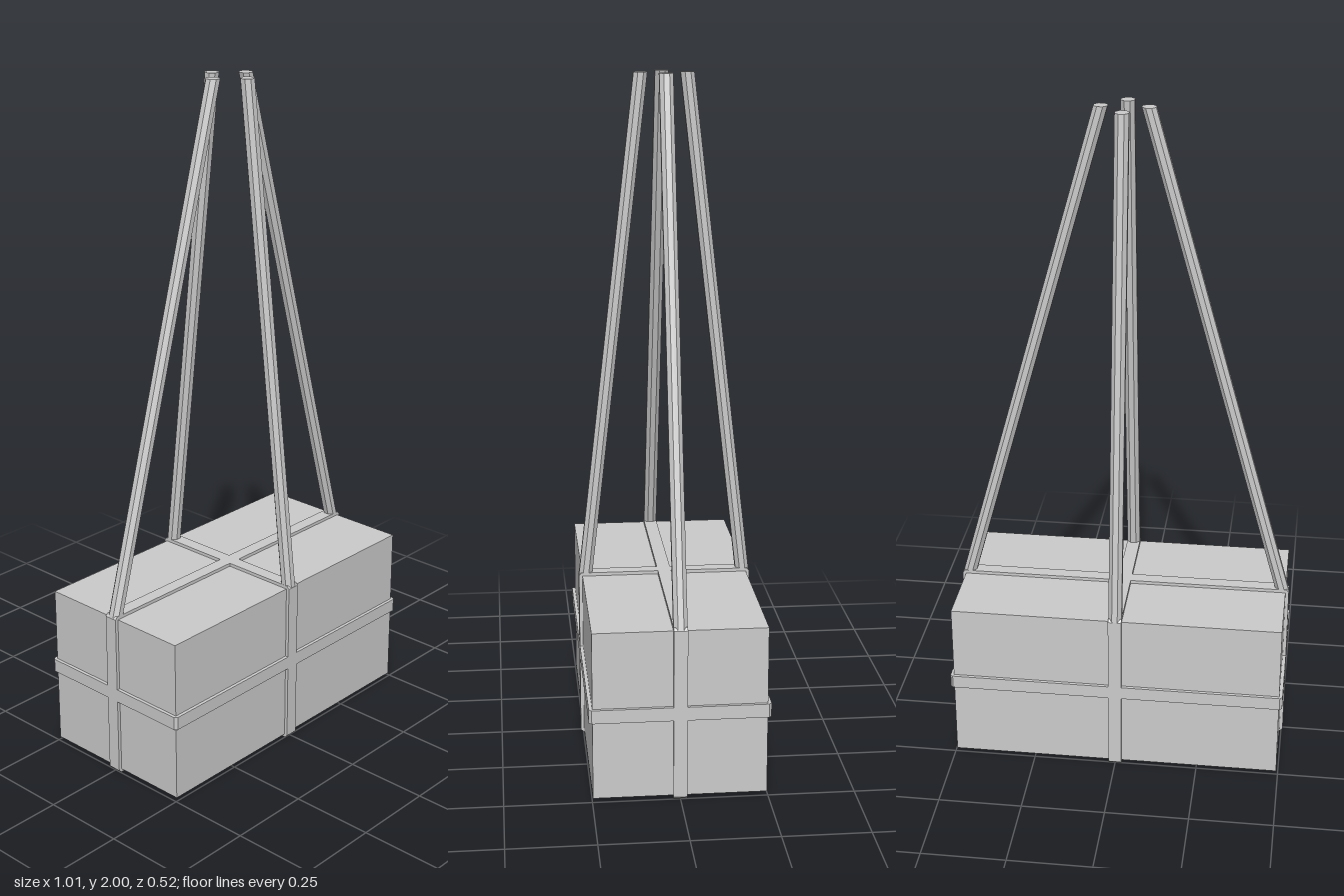
import * as THREE from 'three';

const LENGTH = 0.99, DEPTH = 0.496, HEIGHT = 0.496; // crate
const STRAP = 0.01, WIDTH = 0.04;                   // strap thickness and width
const MID = HEIGHT / 2 + STRAP;                     // centre height of the crate

// Rectangular strap loop around a w x h section, with clipped outer corners
function strapLoop(w, h) {
  const x = w / 2 + STRAP, y = h / 2 + STRAP, c = 0.008;
  const shape = new THREE.Shape([
    [x - c, -y], [x, -y + c], [x, y - c], [x - c, y],
    [-x + c, y], [-x, y - c], [-x, -y + c], [-x + c, -y],
  ].map(([a, b]) => new THREE.Vector2(a, b)));
  const i = w / 2 - 0.002, j = h / 2 - 0.002;
  shape.holes.push(new THREE.Path([
    [-i, -j], [-i, j], [i, j], [i, -j],
  ].map(([a, b]) => new THREE.Vector2(a, b))));
  const geo = new THREE.ExtrudeGeometry(shape, { depth: WIDTH, bevelEnabled: false });
  return geo.translate(0, 0, -WIDTH / 2);
}

// Octagonal rope leaning inward, with level ends
function ropeGeometry(bottom, top) {
  const y0 = MID * 2 - STRAP, y1 = 2;
  const geo = new THREE.CylinderGeometry(0.0215, 0.0215, y1 - y0, 8);
  geo.rotateY(Math.PI / 8).translate(0, (y0 + y1) / 2, 0);
  const p = geo.attributes.position;
  for (let i = 0; i < p.count; i++) {
    const t = (p.getY(i) - y0) / (y1 - y0);
    p.setX(i, p.getX(i) + bottom + (top - bottom) * t);
  }
  geo.computeVertexNormals();
  return geo;
}

export function createModel() {
  const model = new THREE.Group();
  const material = new THREE.MeshStandardMaterial({ color: 0xcccccc, flatShading: true });
  const add = (name, geo, y = 0) => {
    const mesh = new THREE.Mesh(geo, material);
    mesh.name = name;
    mesh.position.y = y;
    model.add(mesh);
    return mesh;
  };

  // Crate
  add('crate', new THREE.BoxGeometry(LENGTH, HEIGHT, DEPTH), MID);

  // Three straps crossing on every face
  add('lengthStrap', strapLoop(LENGTH, HEIGHT), MID);
  add('crossStrap', strapLoop(DEPTH, HEIGHT).rotateY(Math.PI / 2), MID);
  add('waistStrap', strapLoop(LENGTH, DEPTH).rotateX(Math.PI / 2), MID + 0.003);

  // Four lifting ropes, one from the middle of each top edge
  ['leftRope', 'backRope', 'rightRope', 'frontRope'].forEach((name, i) => {
    const reach = (i % 2 ? DEPTH : LENGTH) / 2 + STRAP - 0.02;
    add(name, ropeGeometry(reach, 0.067)).rotation.y = i * Math.PI / 2;
  });

  return model;
}
